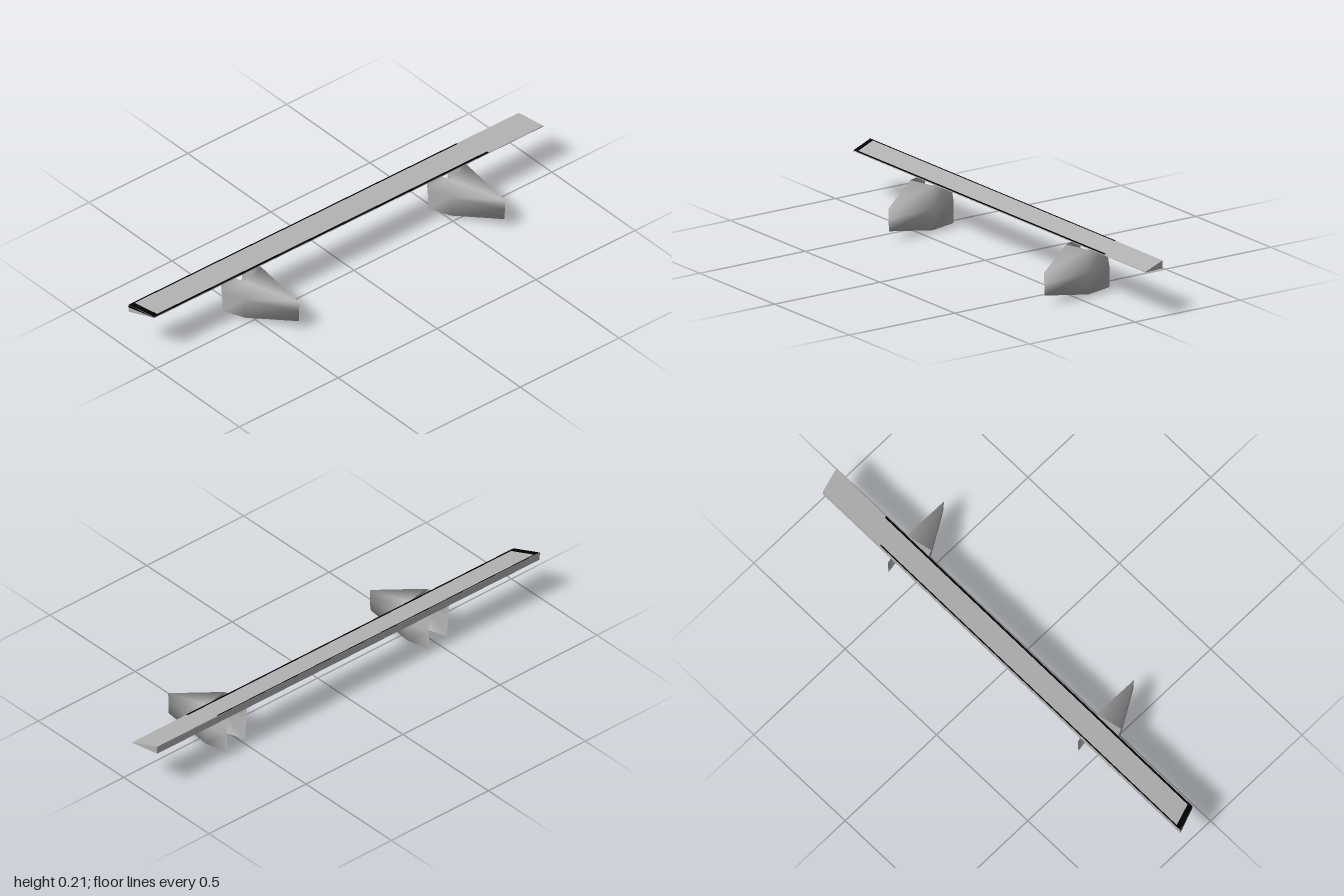
import * as THREE from 'three';
import { mergeGeometries, mergeVertices } from 'three/addons/utils/BufferGeometryUtils.js';

const grey = new THREE.MeshStandardMaterial({ color: 0xb4b4b4, side: THREE.DoubleSide });
grey.name = 'grey';
const black = new THREE.MeshStandardMaterial({ color: 0x000000, side: THREE.DoubleSide });
black.name = 'black';

const V = (x, y, z) => new THREE.Vector3(x, y, z);

// Flat-faced geometry from convex polygons
function polygons(faces) {
  const pos = [];
  for (const f of faces) {
    for (let i = 1; i < f.length - 1; i++) {
      for (const p of [f[0], f[i], f[i + 1]]) pos.push(p.x, p.y, p.z);
    }
  }
  const g = new THREE.BufferGeometry();
  g.setAttribute('position', new THREE.Float32BufferAttribute(pos, 3));
  g.computeVertexNormals();
  return g;
}

// Faces of a sheet between a top and a bottom path, bowed sideways behind the tip
function sheetFaces(top, bottom, bow, flip) {
  const rows = 2, faces = [];
  const at = (i, j) => {
    const t = j / rows;
    const p = bottom[i].clone().lerp(top[i], t);
    if (i > 0) p.x += bow * 4 * t * (1 - t);
    return p;
  };
  for (let j = 0; j < rows; j++) {
    for (let i = 0; i < top.length - 1; i++) {
      const f = [at(i, j), at(i + 1, j), at(i + 1, j + 1), at(i, j + 1)];
      faces.push(flip ? f.reverse() : f);
    }
  }
  return faces;
}

// Joins faces into one smoothly shaded skin
function smoothSkin(...faceLists) {
  const parts = faceLists.map((faces) => polygons(faces).deleteAttribute('normal'));
  const g = mergeVertices(mergeGeometries(parts), 1e-5);
  g.computeVertexNormals();
  return g;
}

function add(parent, name, geometry, material = grey) {
  const m = new THREE.Mesh(geometry, material);
  m.name = name;
  parent.add(m);
}

// Wedge nose that splits into two fins towards the rear
function makeSupport(name, x) {
  const g = new THREE.Group();
  g.name = name;
  const tipT = V(0.085, 0.135, 0.165), tipB = V(0.085, 0.042, 0.162);
  const rT = [tipT, V(0.074, 0.188, -0.05), V(0.054, 0.185, -0.153)];
  const rB = [tipB, V(0.081, 0.008, -0.05), V(0.062, 0.013, -0.162)];
  const lT = [tipT, V(-0.035, 0.186, -0.025), V(-0.075, 0.187, -0.12)];
  const lB = [tipB, V(-0.025, 0.003, -0.03), V(-0.06, 0, -0.121)];
  add(g, 'noseAndFins', smoothSkin(
    sheetFaces(rT, rB, 0.01, false),
    sheetFaces(lT, lB, 0, true),
    [[tipT, rT[1], lT[1]], [tipB, lB[1], rB[1]]],
  ));
  add(g, 'rearPlate', polygons([[rB[1], lB[1], lT[1], rT[1]]]));
  g.position.x = x;
  return g;
}

export function createModel() {
  const model = new THREE.Group();
  model.name = 'rearWing';

  // Wing blade: a thin wedge with slanted ends
  const section = (xf, zf, xb, zb) => [
    V(xf, 0.191, zf), V(xf, 0.194, zf), V(xb, 0.213, zb), V(xb, 0.18, zb),
  ];
  const L = section(-0.96, -0.057, -1, -0.165);
  const R = section(1, -0.05, 0.965, -0.157);
  const faces = [[L[0], L[1], L[2], L[3]], [R[3], R[2], R[1], R[0]]];
  for (let i = 0; i < 4; i++) {
    const k = (i + 1) % 4;
    faces.push([L[i], R[i], R[k], L[k]]);
  }
  add(model, 'wingBlade', polygons(faces));

  // Black trim along the left end and the long edges of the upper face
  const onTop = (u, v) => {
    const front = L[1].clone().lerp(R[1], u), back = L[2].clone().lerp(R[2], u);
    const p = front.lerp(back, v);
    p.y += 0.001;
    return p;
  };
  const strip = (u0, u1, v0, v1) => [onTop(u0, v0), onTop(u1, v0), onTop(u1, v1), onTop(u0, v1)];
  add(model, 'edgeTrim', polygons([
    strip(0, 0.012, 0, 1),
    strip(0.012, 0.86, 0, 0.08),
    strip(0.012, 0.84, 0.95, 1),
  ]), black);

  // Lip of the trim folded down over the left end
  const lip = [L[1], L[2], L[2].clone().lerp(L[3], 0.35), L[1].clone().lerp(L[0], 0.35)];
  add(model, 'endTrim', polygons([lip.map((p) => p.clone().add(V(-0.001, 0, 0)))]), black);

  model.add(makeSupport('rightSupport', -0.5), makeSupport('leftSupport', 0.54));
  return model;
}
